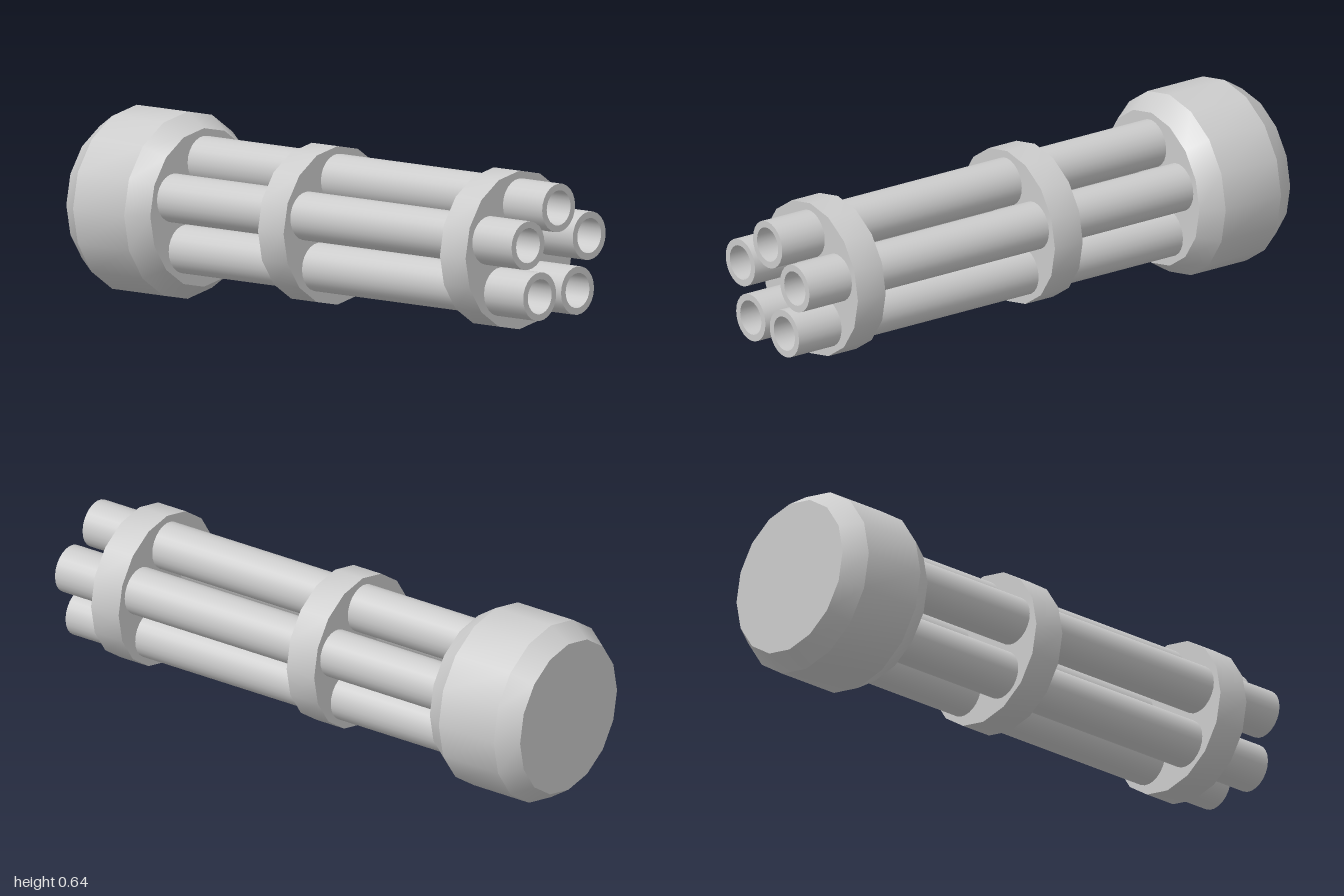
import * as THREE from 'three';
import { toCreasedNormals } from 'three/addons/utils/BufferGeometryUtils.js';

const AXIS_Y = 0.321;
const BARRELS = 5, RING = 0.162, OUTER = 0.083, BORE = 0.06;
const CREASE = 0.5;

// Barrel centres around the axis, first one at the top
const centres = Array.from({ length: BARRELS }, (_, i) => {
  const a = Math.PI / 2 + (i * 2 * Math.PI) / BARRELS;
  return new THREE.Vector2(RING * Math.cos(a), RING * Math.sin(a));
});

// Turned part along z from [radius, z] pairs
function turned(profile, sides) {
  const points = profile.map(([r, z]) => new THREE.Vector2(r, z));
  const geometry = new THREE.LatheGeometry(points, sides).rotateX(Math.PI / 2);
  return toCreasedNormals(geometry, CREASE);
}

// Sixteen-sided clamp plate pierced for the barrels
function plateGeometry(radius, depth) {
  const outline = Array.from({ length: 16 }, (_, i) => {
    const a = (i * Math.PI) / 8;
    return new THREE.Vector2(radius * Math.cos(a), radius * Math.sin(a));
  });
  const shape = new THREE.Shape(outline);
  for (const c of centres) {
    const hole = new THREE.Path();
    hole.absarc(c.x, c.y, OUTER - 0.008, 0, Math.PI * 2, true);
    shape.holes.push(hole);
  }
  const geometry = new THREE.ExtrudeGeometry(shape, { depth, bevelEnabled: false, curveSegments: 12 });
  return toCreasedNormals(geometry, CREASE);
}

export function createModel() {
  const model = new THREE.Group();
  model.name = 'rotaryBarrelCluster';
  const material = new THREE.MeshStandardMaterial({ color: 0xcccccc });
  const add = (name, geometry, x, y, z) => {
    const mesh = new THREE.Mesh(geometry, material);
    mesh.name = name;
    mesh.position.set(x, y, z);
    model.add(mesh);
  };

  // Rear housing with a chamfer at both ends
  add('rearHousing', turned([
    [0, -1], [0.271, -1], [0.32, -0.925], [0.32, -0.692], [0.271, -0.617], [0, -0.617],
  ], 16), 0, AXIS_Y, 0);

  // Hollow barrels, seated slightly inside the housing
  const barrel = turned([
    [OUTER, -0.63], [OUTER, 1], [BORE, 1], [BORE, -0.63],
  ], 24);
  centres.forEach((c, i) => add(`barrel${i + 1}`, barrel, c.x, AXIS_Y + c.y, 0));

  // Clamp plates
  const plate = plateGeometry(0.271, 0.117);
  add('middlePlate', plate, 0, AXIS_Y, -0.126);
  add('frontPlate', plate, 0, AXIS_Y, 0.704);

  return model;
}
